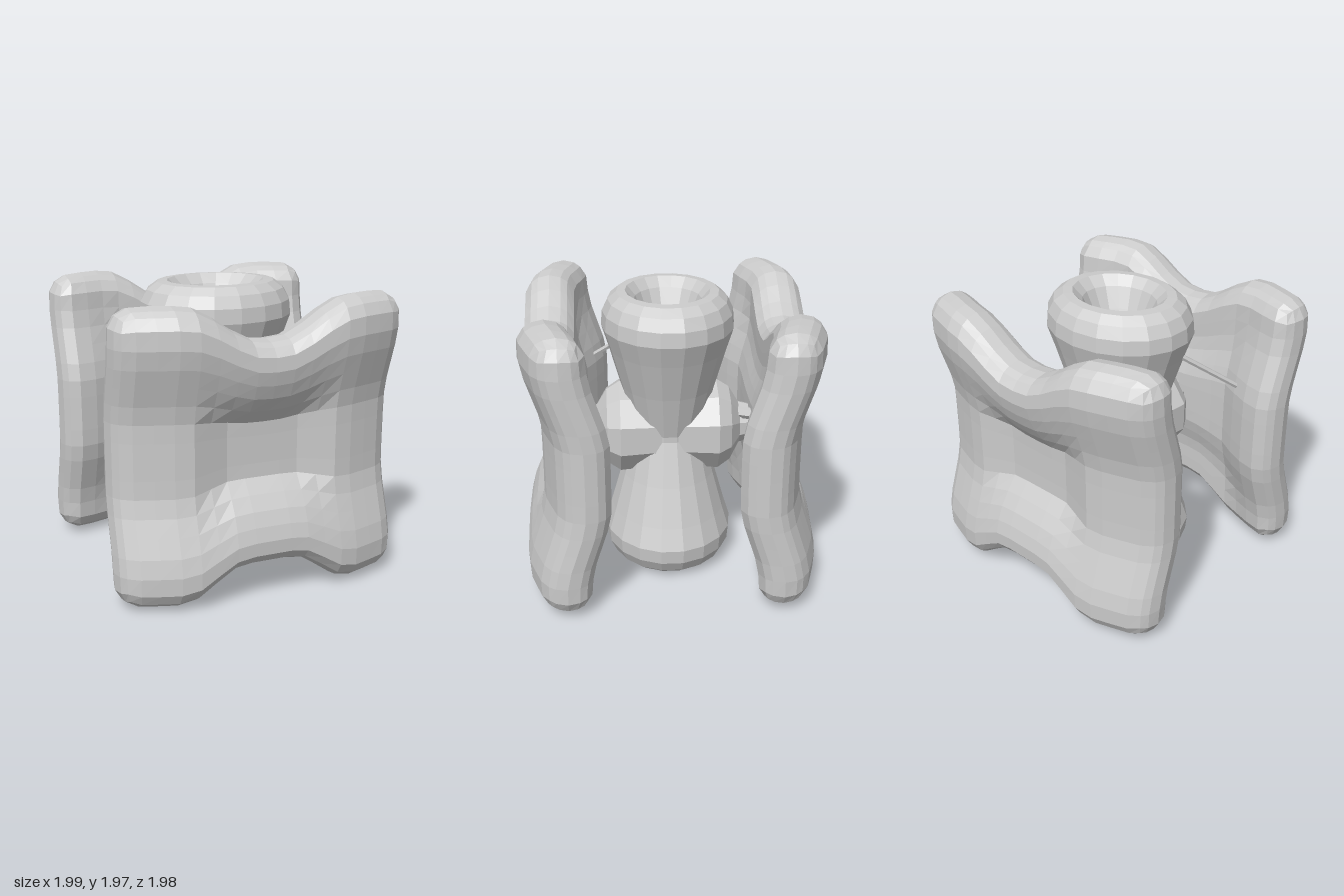
import * as THREE from 'three';

const mat = new THREE.MeshStandardMaterial({ color: 0xcccccc, flatShading: true });
const { smoothstep, clamp, lerp } = THREE.MathUtils;

function add(parent, name, geometry) {
  const mesh = new THREE.Mesh(geometry, mat);
  mesh.name = name;
  parent.add(mesh);
  return mesh;
}

// Saddle-shaped slab with rounded rim, four lobed corners and notched top and bottom
function slabGeometry() {
  const r = 0.18;
  const g = new THREE.BoxGeometry(2, 2, 2 * r, 16, 16, 4);
  const p = g.attributes.position;
  const v = new THREE.Vector3(), core = new THREE.Vector3();
  for (let i = 0; i < p.count; i++) {
    v.fromBufferAttribute(p, i);
    // round the rim
    core.set(clamp(v.x, r - 1, 1 - r), clamp(v.y, r - 1, 1 - r), 0);
    const d = v.clone().sub(core).normalize().multiplyScalar(r);
    const edge = Math.abs(core.x) > 0.8 || Math.abs(core.y) > 0.8;
    if (edge) v.copy(core).add(d);
    const ax = Math.abs(v.x), t = v.y, at = Math.abs(t);
    // notch the outline towards the middle
    const top = lerp(0.73, 0.97, smoothstep(ax, 0.05, 0.58));
    const bottom = lerp(0.75, 0.97, smoothstep(ax, 0.17, 0.6));
    const y = t * (t > 0 ? top : bottom);
    // recess on the outer face, broad hollow on the inner face
    const recess = (1 - smoothstep(ax, 0.25, 0.5)) * (1 - smoothstep(at, 0.25, 0.45));
    const hollow = (1 - smoothstep(ax, 0.45, 0.7)) * (1 - smoothstep(at, 0.4, 0.85));
    const z = v.z + (v.z > 0 ? -0.07 * recess : 0.07 * hollow);
    // saddle bend
    const bend = 0.68 + 0.135 * smoothstep(at, 0.2, 0.8) - 0.1 * smoothstep(ax, 0.5, 0.95);
    p.setXYZ(i, v.x * (1 - 0.01 * (1 - t * t)), 1 + y, z + bend);
  }
  g.computeVertexNormals();
  return g;
}

// Thin rod between two points
function rod(parent, name, a, b, radius) {
  const from = new THREE.Vector3(...a), to = new THREE.Vector3(...b);
  const dir = to.clone().sub(from);
  const mesh = add(parent, name, new THREE.CylinderGeometry(radius, radius, dir.length(), 6));
  mesh.position.copy(from).add(to).multiplyScalar(0.5);
  mesh.quaternion.setFromUnitVectors(new THREE.Vector3(0, 1, 0), dir.normalize());
}

export function createModel() {
  const group = new THREE.Group();
  group.name = 'saddleSculpture';

  // Front and back slabs
  const slab = slabGeometry();
  add(group, 'frontSlab', slab);
  add(group, 'backSlab', slab).rotation.y = Math.PI;

  // Hourglass core with a rounded, hollowed ring at each end (radius, height above middle)
  const half = [
    [0.3, 0.02], [0.39, 0.33], [0.48, 0.6], [0.535, 0.75], [0.525, 0.85],
    [0.48, 0.93], [0.41, 0.98], [0.34, 0.985], [0.27, 0.92], [0.2, 0.78], [0.13, 0.63], [0, 0.58],
  ];
  const profile = [
    ...half.slice().reverse().map(([r, h]) => new THREE.Vector2(r, 1 - h)),
    ...half.map(([r, h]) => new THREE.Vector2(r, 1 + h)),
  ];
  add(group, 'hourglassCore', new THREE.LatheGeometry(profile, 18)).scale.z = 0.85;

  // Swelling through the waist, necking into both slabs
  const bulge = [[0.12, -0.62], [0.15, -0.5], [0.27, -0.43], [0.33, -0.34], [0.3, 0],
    [0.33, 0.34], [0.27, 0.43], [0.15, 0.5], [0.12, 0.62]];
  const waist = add(group, 'waistBulge',
    new THREE.LatheGeometry(bulge.map(([r, h]) => new THREE.Vector2(r, h)), 10));
  waist.rotation.x = Math.PI / 2;
  waist.position.y = 1;

  // Slender ties between core and slabs
  rod(group, 'frontTie', [-0.65, 1.27, 0.55], [-0.4, 1.6, 0.14], 0.02);
  rod(group, 'backTie', [0.06, 1.1, -0.47], [0.17, 1.12, -0.62], 0.04);

  return group;
}
